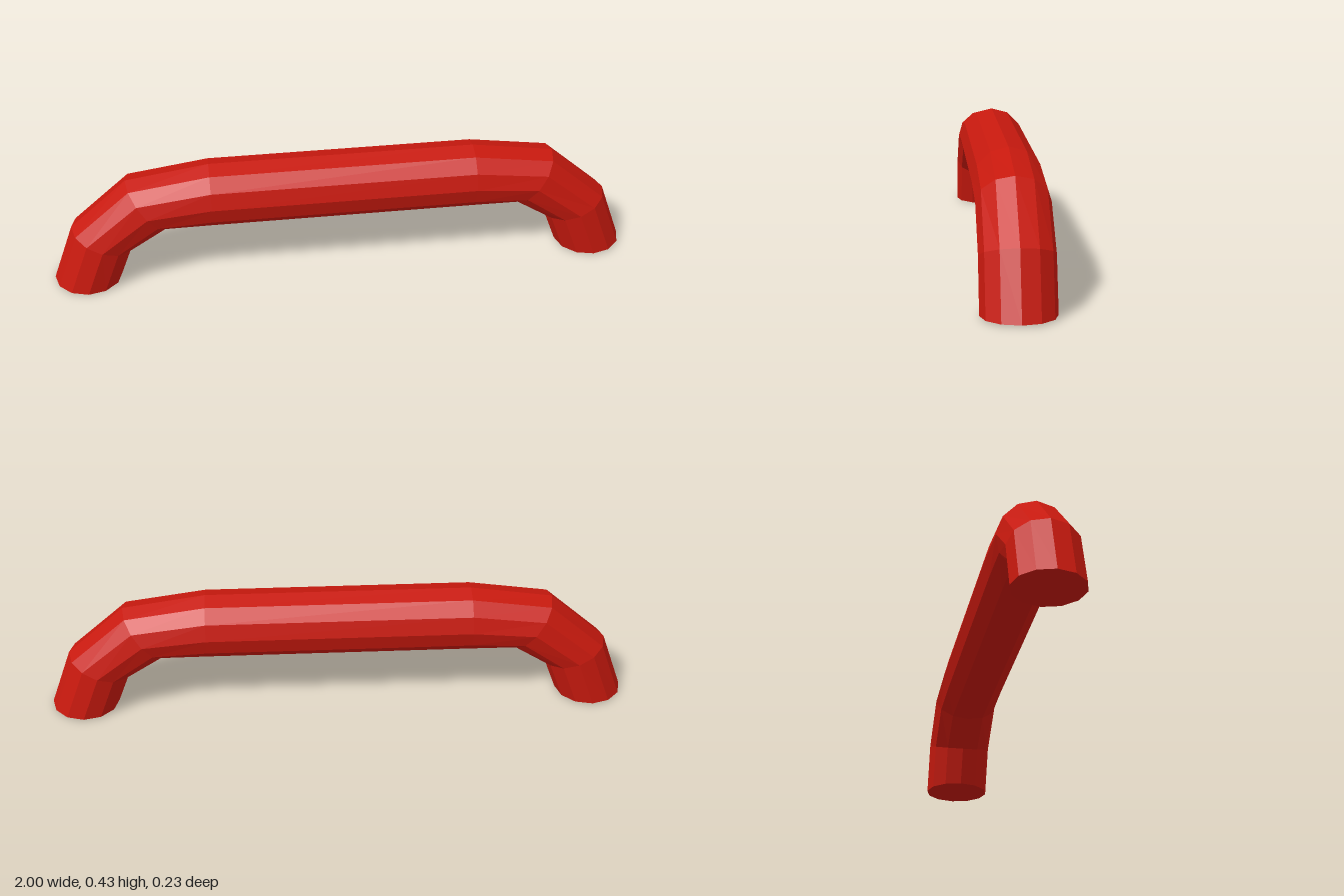
import * as THREE from 'three';

const SIDES = 12;
const HALF_WIDTH = 0.115;

// Outer and inner edge of each cross-section on the +x half: [xOut, yOut, xIn, yIn]
const HALF = [
  [0.45, 0.425, 0.45, 0.198],
  [0.73, 0.383, 0.6, 0.2],
  [0.925, 0.21, 0.722, 0.125],
  [1.0, 0.005, 0.77, 0],
];

// Sweep of 12-sided rings with mitred bends and closed ends
function barGeometry() {
  const mirrored = HALF.map(([xo, yo, xi, yi]) => [-xo, yo, -xi, yi]).reverse();
  const rings = [...mirrored, ...HALF];
  const positions = [];
  const index = [];
  for (const [xo, yo, xi, yi] of rings) {
    for (let j = 0; j < SIDES; j++) {
      const a = (j / SIDES) * Math.PI * 2;
      const t = (1 + Math.cos(a)) / 2;
      positions.push(xi + (xo - xi) * t, yi + (yo - yi) * t, HALF_WIDTH * Math.sin(a));
    }
  }
  const last = (rings.length - 1) * SIDES;
  for (let i = 0; i < last; i += SIDES) {
    for (let j = 0; j < SIDES; j++) {
      const k = (j + 1) % SIDES;
      index.push(i + j, i + k, i + SIDES + j);
      index.push(i + k, i + SIDES + k, i + SIDES + j);
    }
  }
  // Feet caps
  for (let j = 1; j < SIDES - 1; j++) {
    index.push(0, j + 1, j);
    index.push(last, last + j, last + j + 1);
  }
  const indexed = new THREE.BufferGeometry();
  indexed.setAttribute('position', new THREE.Float32BufferAttribute(positions, 3));
  indexed.setIndex(index);
  const geometry = indexed.toNonIndexed();
  geometry.computeVertexNormals();
  return geometry;
}

export function createModel() {
  const group = new THREE.Group();
  group.name = 'handle';
  const material = new THREE.MeshStandardMaterial({ color: 0xc8190e, flatShading: true });
  const bar = new THREE.Mesh(barGeometry(), material);
  bar.name = 'handleBar';
  group.add(bar);
  return group;
}
